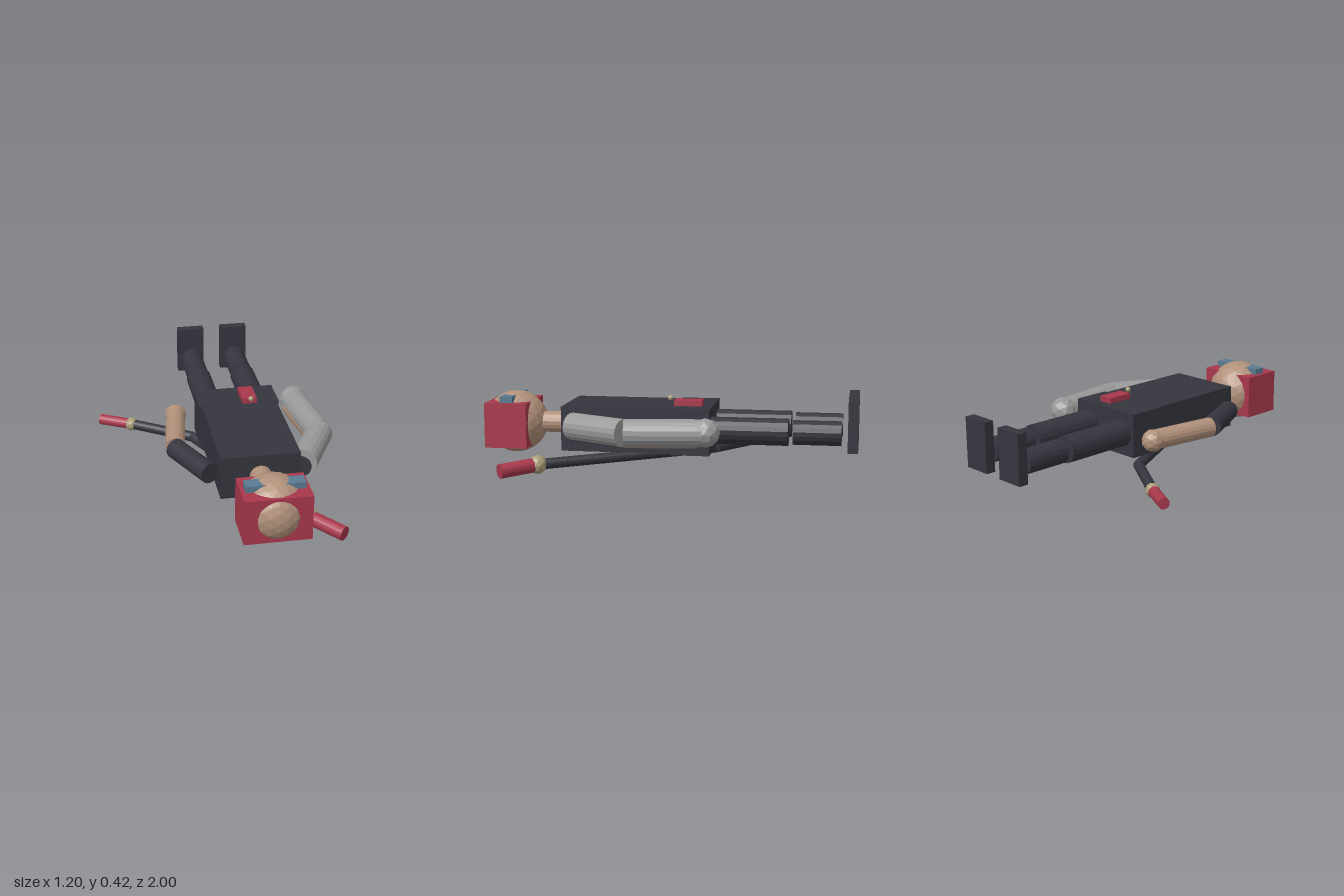
import * as THREE from 'three';

export function createModel() {
  const root = new THREE.Group();
  const mat = (color) => new THREE.MeshStandardMaterial({ color, flatShading: true });
  const dark = mat(0x34353e), skin = mat(0xb0907a), red = mat(0xa8384c);
  const gold = mat(0xa89b78), blue = mat(0x5a7b92), metal = mat(0x999999);
  const V = (x, y, z) => new THREE.Vector3(x, y, z);
  const CX = 0.135; // centre line of the body

  function add(name, geometry, material, position) {
    const mesh = new THREE.Mesh(geometry, material);
    mesh.name = name;
    mesh.position.copy(position);
    root.add(mesh);
    return mesh;
  }
  // box given by its two opposite corners
  function box(name, material, a, b) {
    const s = b.clone().sub(a);
    return add(name, new THREE.BoxGeometry(s.x, s.y, s.z), material, a.clone().add(b).multiplyScalar(0.5));
  }
  function ball(name, material, p, r, detail = 1) {
    return add(name, new THREE.IcosahedronGeometry(r, detail), material, p);
  }
  // cylinder between two points
  function rod(name, material, a, b, r) {
    const d = b.clone().sub(a);
    const mesh = add(name, new THREE.CylinderGeometry(r, r, d.length(), 18), material,
      a.clone().add(b).multiplyScalar(0.5));
    mesh.quaternion.setFromUnitVectors(V(0, 1, 0), d.normalize());
    return mesh;
  }

  // head with wrap and goggles strip
  ball('head', skin, V(CX, 0.248, 0.832), 0.168, 3);
  box('headWrap', red, V(-0.033, 0.126, 0.735), V(0.304, 0.365, 0.963));
  box('goggles', blue, V(-0.011, 0.36, 0.815), V(0.284, 0.398, 0.884));
  rod('neck', skin, V(CX, 0.248, 0.5), V(CX, 0.248, 0.7), 0.057);

  // torso and hips
  box('torso', dark, V(-0.07, 0.13, -0.23), V(0.34, 0.362, 0.535));
  box('hips', dark, V(-0.083, 0.126, -0.246), V(0.353, 0.364, -0.046));
  box('beltPouch', red, V(0.151, 0.36, -0.191), V(0.23, 0.394, -0.044));
  ball('beltStud', gold, V(0.193, 0.402, -0.02), 0.015);

  // legs
  for (const s of [-1, 1]) {
    const x = CX + s * 0.13, y = 0.248;
    rod('upperLeg', dark, V(x, y, -0.2), V(x, y, -0.645), 0.071);
    rod('lowerLeg', dark, V(x, y, -0.668), V(x, y, -0.915), 0.064);
    box('foot', dark, V(x - 0.078, 0.16, -1), V(x + 0.078, 0.428, -0.947));
  }

  // right arm
  rod('rightUpperArm', dark, V(-0.112, 0.245, 0.468), V(-0.25, 0.245, 0.176), 0.055);
  rod('rightForearm', skin, V(-0.25, 0.245, 0.165), V(-0.195, 0.245, -0.2), 0.053);
  ball('rightHand', skin, V(-0.194, 0.242, -0.21), 0.061);

  // left arm under its metal sleeve
  rod('leftUpperArm', dark, V(0.355, 0.245, 0.478), V(0.505, 0.245, 0.18), 0.055);
  rod('leftForearm', skin, V(0.515, 0.243, 0.165), V(0.463, 0.243, -0.2), 0.055);
  rod('upperSleeve', metal, V(0.373, 0.267, 0.469), V(0.532, 0.267, 0.165), 0.071);
  rod('lowerSleeve', metal, V(0.528, 0.267, 0.162), V(0.479, 0.267, -0.22), 0.071);
  ball('metalHand', metal, V(0.479, 0.27, -0.243), 0.075);

  // jointed staff beneath the back, with knobs and grips at both ends
  const joint = V(-0.1, 0.088, -0.225);
  const ends = [
    { knob: V(-0.42, 0.087, -0.437), tip: V(-0.588, 0.087, -0.527), knobR: 0.039, gripR: 0.03 },
    { knob: V(0.362, 0.056, 0.66), tip: V(0.505, 0.042, 0.822), knobR: 0.051, gripR: 0.038 },
  ];
  for (const e of ends) {
    rod('staffShaft', dark, joint, e.knob, 0.028);
    ball('staffKnob', gold, e.knob, e.knobR);
    rod('staffGrip', red, e.knob, e.tip, e.gripR);
  }
  return root;
}
